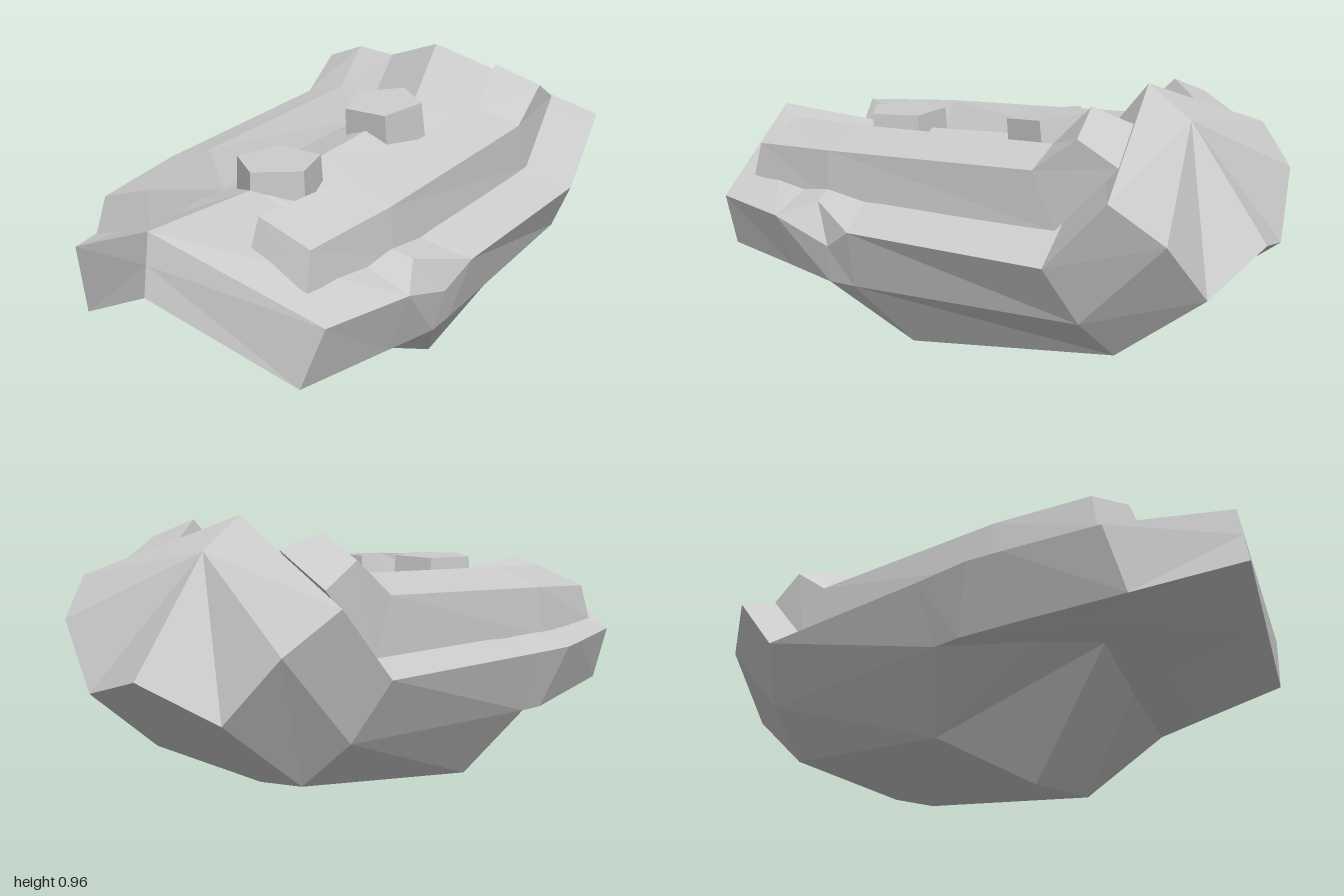
import * as THREE from 'three';

const material = new THREE.MeshStandardMaterial({ color: 0xcccccc, flatShading: true, side: THREE.DoubleSide });

const mean = (pts) => [0, 1, 2].map((k) => pts.reduce((s, p) => s + p[k], 0) / pts.length);

// Skin closed rings placed along +x, with a fan closing each end
function loft(name, rings, startTip = mean(rings[0]), endTip = mean(rings[rings.length - 1])) {
  const out = [];
  const tri = (...pts) => {
    const [a, b, c] = pts.map((p) => new THREE.Vector3(...p));
    if (b.clone().sub(a).cross(c.clone().sub(a)).length() > 1e-7) out.push(...pts.flat());
  };
  const n = rings[0].length;
  const last = rings[rings.length - 1];
  for (let j = 0; j < n; j++) {
    const k = (j + 1) % n;
    for (let i = 0; i < rings.length - 1; i++) {
      const a = rings[i][j], b = rings[i + 1][j], c = rings[i + 1][k], d = rings[i][k];
      tri(a, d, c);
      tri(a, c, b);
    }
    tri(startTip, rings[0][k], rings[0][j]);
    tri(endTip, last[j], last[k]);
  }
  const geometry = new THREE.BufferGeometry();
  geometry.setAttribute('position', new THREE.Float32BufferAttribute(out, 3));
  geometry.computeVertexNormals();
  const mesh = new THREE.Mesh(geometry, material);
  mesh.name = name;
  return mesh;
}

// Body: half sections as ridge, shoulder, lower side, belly side, belly centre
function createBody() {
  const stations = [
    [[-0.97, 0.715, 0], [-0.81, 0.49, 0.5], [-0.84, 0.29, 0.43], [-0.92, 0.405, 0.215], [-1, 0.52, 0]],
    [[-0.5, 0.703, 0], [-0.5, 0.49, 0.575], [-0.5, 0.288, 0.5], [-0.55, 0.365, 0.25], [-0.6, 0.44, 0]],
    [[-0.38, 0.7, 0], [-0.38, 0.49, 0.6], [-0.3, 0.285, 0.54], [-0.37, 0.35, 0.27], [-0.45, 0.42, 0]],
    [[-0.1, 0.72, 0], [-0.17, 0.495, 0.597], [-0.2, 0.288, 0.537], [-0.07, 0.07, 0.39], [-0.15, 0, 0]],
    [[0.42, 0.76, 0], [0.55, 0.52, 0.597], [0.62, 0.33, 0.5], [0.66, 0.18, 0.34], [0.51, 0.09, 0]],
    [[0.58, 0.96, 0], [0.75, 0.745, 0.59], [0.89, 0.62, 0.5], [0.94, 0.41, 0.31], [1, 0.5, 0]],
  ];
  const rings = stations.map(([ridge, shoulder, low, bellySide, belly], i) => {
    // The front shoulder splits in two at the chipped corner
    const chip = i === 2 ? [[-0.37, 0.545, 0.505], [-0.28, 0.42, 0.568]] : [shoulder, shoulder];
    const back = [bellySide, low, shoulder].map(([x, y, z]) => [x, y, -z]);
    return [ridge, ...chip, low, bellySide, belly, ...back];
  });
  return loft('body', rings, [-0.985, 0.617, 0], [0.73, 0.86, 0]);
}

// Rail sections: inner base, inner top, outer top, outer base
function createRail(name, side, widen) {
  const sections = [
    [[-0.76, 0.61, 0.19], [-0.73, 0.73, 0.205], [-0.73, 0.67, 0.39], [-0.76, 0.55, 0.4]],
    [[-0.38, 0.62, 0.22], [-0.38, 0.755, 0.265], [-0.38, 0.7, 0.43], [-0.38, 0.54, 0.44]],
    [[0.45, 0.67, 0.22], [0.4, 0.8, 0.28], [0.42, 0.755, 0.44], [0.5, 0.58, 0.44]],
    [[0.64, 0.88, 0.22], [0.53, 0.932, 0.28], [0.57, 0.87, 0.44], [0.7, 0.8, 0.43]],
  ];
  const rings = sections.map((section) => {
    const ring = section.map(([x, y, z], j) => [x, y - 0.4 * widen[j], side * (z + widen[j])]);
    return side > 0 ? ring : ring.reverse();
  });
  return loft(name, rings);
}

// Five-sided stud with one corner pointing along the ridge
function createStud(name, x, y, direction, tilt) {
  const geometry = new THREE.CylinderGeometry(0.142, 0.15, 0.16, 5, 1, false, direction * Math.PI / 2);
  geometry.translate(0, -0.08, 0);
  const stud = new THREE.Mesh(geometry, material);
  stud.name = name;
  stud.position.set(x, y, 0);
  stud.rotation.z = tilt;
  return stud;
}

export function createModel() {
  const model = new THREE.Group();
  model.name = 'rockShell';
  model.add(
    createBody(),
    createRail('frontRail', 1, [0, 0, 0, 0]),
    createRail('backRail', -1, [0.015, 0.03, 0.04, 0.05]),
    createStud('endStud', -0.38, 0.765, -1, 0.02),
    createStud('middleStud', 0.22, 0.82, 1, 0.13),
  );
  return model;
}
